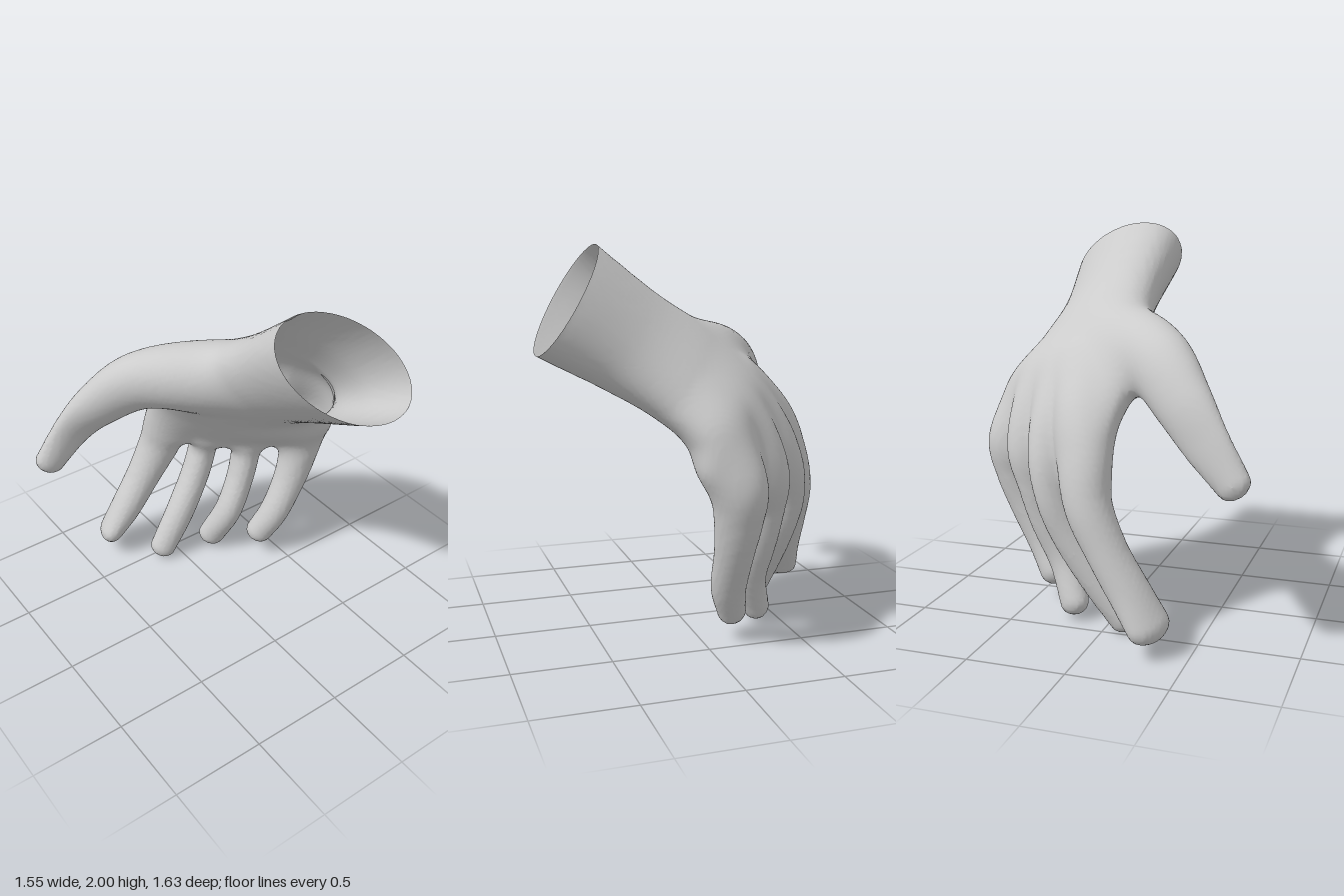
import * as THREE from 'three';

const STEP = 0.018, FAR = 0.12;
const curve = (pts) => new THREE.CatmullRomCurve3(pts.map((p) => new THREE.Vector3(...p)), false, 'catmullrom', 0.5);

// One cross-section, swelled into an ellipsoid: centre, unit axes and their half sizes
function section(c, a, b, along) {
  const ra = a.length(), rb = b.length();
  const n = a.clone().cross(b).normalize();
  return { c, a: a.clone().divideScalar(ra), b: b.clone().divideScalar(rb), n, ra, rb, rn: along, far: (Math.max(ra, rb, along) + FAR) ** 2 };
}

// Round-tipped digit; points are [x, y, z, half width, half depth] from base to tip
function digit(across, points) {
  const path = curve(points.map((p) => p.slice(0, 3)));
  const size = curve(points.map((p) => [p[3], p[4], 0]));
  const ref = new THREE.Vector3(...across);
  return Array.from({ length: 48 }, (_, i) => {
    const t = i / 47, dir = path.getTangent(t), s = size.getPoint(t);
    const a = ref.clone().addScaledVector(dir, -ref.dot(dir)).normalize();
    const b = dir.clone().cross(a);
    return section(path.getPoint(t), a.multiplyScalar(s.x), b.multiplyScalar(s.y), 0.45 * (s.x + s.y));
  });
}

// Wrist running into the palm; rows are centre, axis toward the thumb, axis toward the back of the hand
function palm() {
  const rows = [
    [[0.235, 1.84, 0.76], [-0.305, 0.21, -0.15], [0.152, 0.146, -0.105]],
    [[0.235, 1.75, 0.64], [-0.30, 0.205, -0.147], [0.152, 0.146, -0.105]],
    [[0.24, 1.545, 0.33], [-0.28, 0.165, -0.16], [0.13, 0.12, -0.10]],
    [[0.25, 1.385, 0.07], [-0.305, 0.165, -0.20], [0.12, 0.11, -0.12]],
    [[0.28, 1.205, -0.15], [-0.355, 0.14, -0.29], [0.115, 0.10, -0.14]],
    [[0.315, 1.00, -0.25], [-0.385, 0.065, -0.31], [0.105, 0.035, -0.12]],
    [[0.33, 0.84, -0.32], [-0.325, 0, -0.255], [0.055, 0, -0.07]],
  ];
  const [centre, side, back] = [0, 1, 2].map((k) => curve(rows.map((r) => r[k])));
  return Array.from({ length: 91 }, (_, i) => {
    const t = i / 90;
    return section(centre.getPoint(t), side.getPoint(t), back.getPoint(t), 0.12);
  });
}

// Approximate distance from a point to a run of sections
function distance(sections, x, y, z) {
  let best = FAR;
  for (const { c, a, b, n, ra, rb, rn, far } of sections) {
    const dx = x - c.x, dy = y - c.y, dz = z - c.z;
    if (dx * dx + dy * dy + dz * dz > far) continue;
    const u = (dx * a.x + dy * a.y + dz * a.z) / ra;
    const v = (dx * b.x + dy * b.y + dz * b.z) / rb;
    const w = (dx * n.x + dy * n.y + dz * n.z) / rn;
    const k0 = Math.sqrt(u * u + v * v + w * w);
    const k1 = Math.sqrt((u / ra) ** 2 + (v / rb) ** 2 + (w / rn) ** 2) + 1e-9;
    best = Math.min(best, (k0 * (k0 - 1)) / k1);
  }
  return best;
}

// Rounded join of two distances
function blend(p, q, k) {
  const h = Math.max(k - Math.abs(p - q), 0) / k;
  return Math.min(p, q) - (h * h * k) / 4;
}

// Skin over a distance field: one vertex per crossed cell, one quad per crossed edge.
// Skin beyond the cut plane is left off, which makes the open end.
function skin(field, min, max, cut) {
  const n = min.map((m, i) => Math.ceil((max[i] - m) / STEP) + 1);
  const stride = [1, n[0], n[0] * n[1]];
  const value = new Float32Array(n[0] * n[1] * n[2]);
  const eachPoint = (lo, hi, fn) => {
    for (let k = lo; k < n[2] - hi; k++)
      for (let j = lo; j < n[1] - hi; j++)
        for (let i = lo; i < n[0] - hi; i++) fn(i + j * stride[1] + k * stride[2], [i, j, k]);
  };
  eachPoint(0, 0, (id, g) => { value[id] = field(...g.map((s, d) => min[d] + s * STEP)); });

  // Vertices: mean of the edge crossings in each cell
  const vertex = new Int32Array(value.length).fill(-1);
  const pos = [], outside = [], p = new THREE.Vector3();
  eachPoint(0, 1, (id, g) => {
    let count = 0;
    const sum = [0, 0, 0];
    for (let corner = 0; corner < 8; corner++) {
      const bits = [corner & 1, (corner >> 1) & 1, corner >> 2];
      const from = id + bits[0] + bits[1] * stride[1] + bits[2] * stride[2];
      for (let d = 0; d < 3; d++) {
        if (bits[d]) continue;
        const f0 = value[from], f1 = value[from + stride[d]];
        if ((f0 < 0) === (f1 < 0)) continue;
        count++;
        for (let e = 0; e < 3; e++) sum[e] += bits[e] + (e === d ? f0 / (f0 - f1) : 0);
      }
    }
    if (!count) return;
    p.set(...sum.map((s, d) => min[d] + (g[d] + s / count) * STEP));
    const over = cut.distanceToPoint(p);
    if (over > 0) p.addScaledVector(cut.normal, -over);
    vertex[id] = outside.length;
    outside.push(over > 0);
    pos.push(p.x, p.y, p.z);
  });

  // Faces
  const index = [];
  eachPoint(1, 1, (id) => {
    for (let d = 0; d < 3; d++) {
      const inside = value[id] < 0;
      if (inside === value[id + stride[d]] < 0) continue;
      const u = stride[(d + 1) % 3], v = stride[(d + 2) % 3];
      const [q, r, s, t] = [id, id - u, id - u - v, id - v].map((cell) => vertex[cell]);
      if ([q, r, s, t].every((k) => outside[k])) continue;
      index.push(...(inside ? [q, r, s, q, s, t] : [q, s, r, q, t, s]));
    }
  });
  const geometry = new THREE.BufferGeometry();
  geometry.setAttribute('position', new THREE.Float32BufferAttribute(pos, 3));
  geometry.setIndex(index);
  geometry.computeVertexNormals();
  return geometry;
}

export function createModel() {
  const row = [0.85, 0, 0.5];
  const palmAndWrist = palm();
  const thumb = digit([0.75, -0.65, 0], [
    [0.12, 1.40, 0.02, 0.15, 0.12], [-0.03, 1.41, -0.15, 0.20, 0.175], [-0.25, 1.36, -0.365, 0.175, 0.145],
    [-0.415, 1.205, -0.515, 0.147, 0.105], [-0.55, 1.04, -0.605, 0.12, 0.06], [-0.69, 0.865, -0.64, 0.088, 0.06],
  ]);
  const indexFinger = digit(row, [
    [0.18, 1.32, -0.26, 0.09, 0.07], [0.115, 1.12, -0.46, 0.12, 0.11], [0.06, 0.91, -0.57, 0.14, 0.12],
    [0.015, 0.70, -0.635, 0.12, 0.115], [-0.09, 0.49, -0.665, 0.10, 0.105], [-0.21, 0.30, -0.68, 0.09, 0.11],
    [-0.305, 0.16, -0.70, 0.072, 0.12],
  ]);
  const middleFinger = digit(row, [
    [0.28, 1.28, -0.17, 0.08, 0.07], [0.285, 1.10, -0.36, 0.10, 0.105], [0.28, 0.90, -0.46, 0.105, 0.115],
    [0.24, 0.70, -0.50, 0.084, 0.11], [0.165, 0.50, -0.49, 0.084, 0.10], [0.03, 0.27, -0.47, 0.084, 0.09],
    [-0.10, 0.068, -0.465, 0.076, 0.065],
  ]);
  const ringFinger = digit(row, [
    [0.39, 1.24, -0.07, 0.08, 0.07], [0.455, 1.08, -0.23, 0.10, 0.105], [0.46, 0.88, -0.31, 0.108, 0.115],
    [0.415, 0.70, -0.315, 0.087, 0.11], [0.36, 0.50, -0.305, 0.08, 0.10], [0.27, 0.29, -0.30, 0.08, 0.09],
    [0.195, 0.09, -0.37, 0.08, 0.07],
  ]);
  const littleFinger = digit(row, [
    [0.46, 1.24, 0.05, 0.09, 0.08], [0.575, 1.05, -0.04, 0.13, 0.125], [0.64, 0.87, -0.095, 0.135, 0.14],
    [0.625, 0.70, -0.10, 0.112, 0.12], [0.57, 0.52, -0.10, 0.095, 0.10], [0.47, 0.31, -0.11, 0.085, 0.09],
    [0.395, 0.16, -0.155, 0.08, 0.075],
  ]);
  const digits = [thumb, indexFinger, middleFinger, ringFinger, littleFinger];

  // Digits meet each other in a crease and flow softly into the palm
  const field = (x, y, z) => {
    const nearest = digits.reduce((d, sections) => blend(d, distance(sections, x, y, z), 0.02), FAR);
    return blend(nearest, distance(palmAndWrist, x, y, z), 0.09);
  };
  const wristCut = new THREE.Plane().setFromNormalAndCoplanarPoint(
    new THREE.Vector3(0, 0.58, 0.81).normalize(), new THREE.Vector3(0.235, 1.75, 0.64));

  const mesh = new THREE.Mesh(
    skin(field, [-0.84, -0.05, -0.88], [0.84, 2.06, 0.88], wristCut),
    new THREE.MeshStandardMaterial({ color: 0xcccccc, side: THREE.DoubleSide }),
  );
  mesh.name = 'handSkin';
  const hand = new THREE.Group();
  hand.name = 'hand';
  hand.add(mesh);
  return hand;
}
